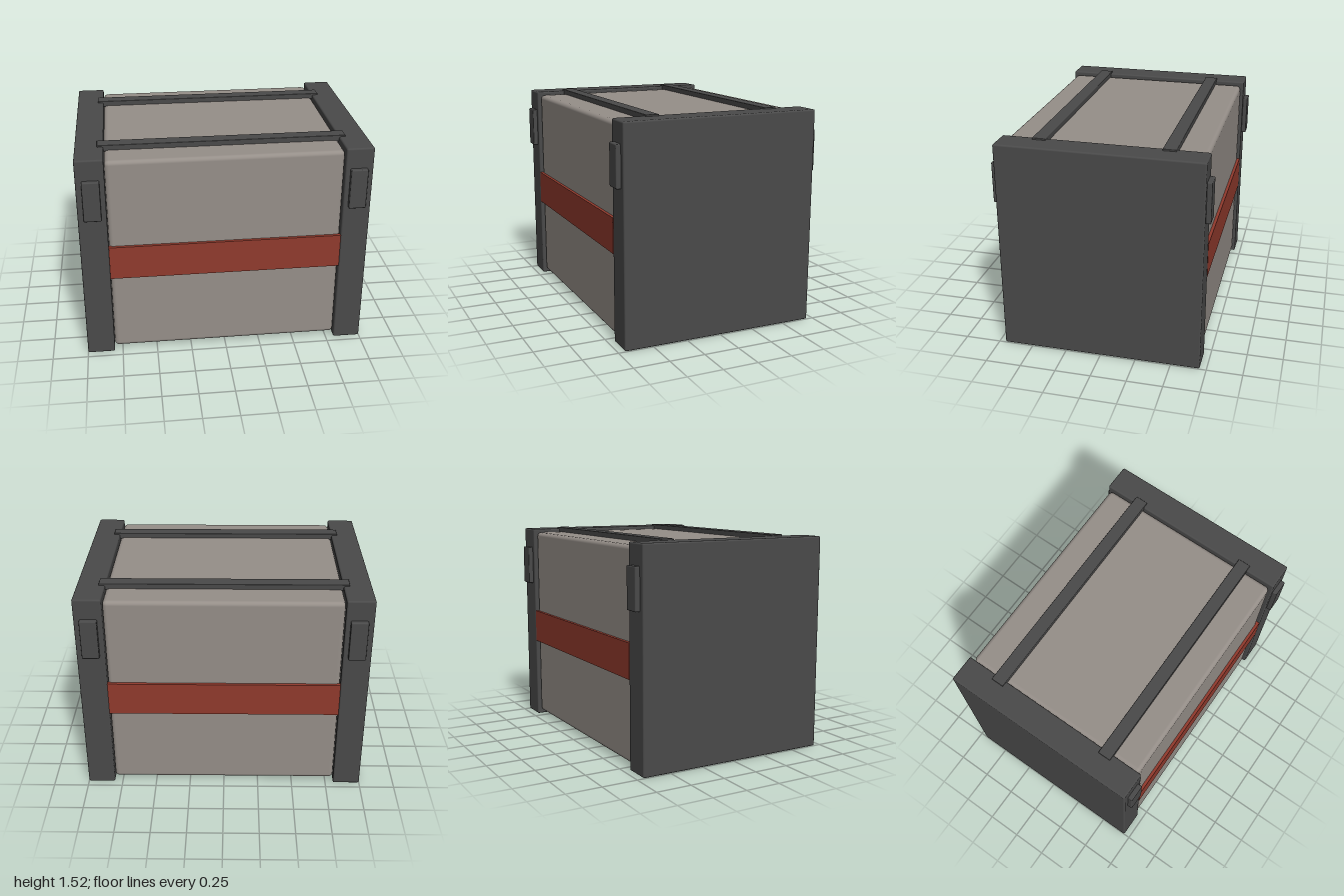
import * as THREE from 'three';
import { RoundedBoxGeometry } from 'three/addons/geometries/RoundedBoxGeometry.js';

function material(name, color) {
  const m = new THREE.MeshStandardMaterial({ color });
  m.name = name;
  return m;
}

export function createModel() {
  const group = new THREE.Group();
  group.name = 'crate';
  const grey = material('warmGrey', 0x968f89);
  const dark = material('darkGrey', 0x4a4a4a);
  const red = material('rustRed', 0x913a2d);

  // Box centred at (x, y, z) with softly rounded edges; radius 0 gives sharp edges
  function block(name, mat, [w, h, d], [x, y, z], radius = 0) {
    const geometry = radius
      ? new RoundedBoxGeometry(w, h, d, 2, radius)
      : new THREE.BoxGeometry(w, h, d);
    const mesh = new THREE.Mesh(geometry, mat);
    mesh.name = name;
    mesh.position.set(x, y, z);
    group.add(mesh);
  }

  // Main container
  block('body', grey, [1.61, 1.455, 1.365], [0, 0.758, 0], 0.03);

  for (const s of [-1, 1]) {
    const side = s > 0 ? 'left' : 'right';
    const face = s > 0 ? 'front' : 'back';

    // Heavy end frames
    block(side + 'EndFrame', dark, [0.193, 1.51, 1.408], [s * 0.9035, 0.755, 0], 0.012);

    // Stripe across the front and back
    block(face + 'Stripe', red, [1.614, 0.245, 0.028], [0, 0.735, s * 0.69]);

    // Top rails bridging the end frames
    block(face + 'TopRail', dark, [1.70, 0.045, 0.092], [0, 1.499, s * 0.438], 0.005);

    // Latch blocks on the end frames
    for (const t of [-1, 1]) {
      block(face + (t > 0 ? 'Left' : 'Right') + 'Latch', dark,
        [0.118, 0.287, 0.06], [t * 0.9, 1.222, s * 0.707], 0.008);
    }
  }
  return group;
}
